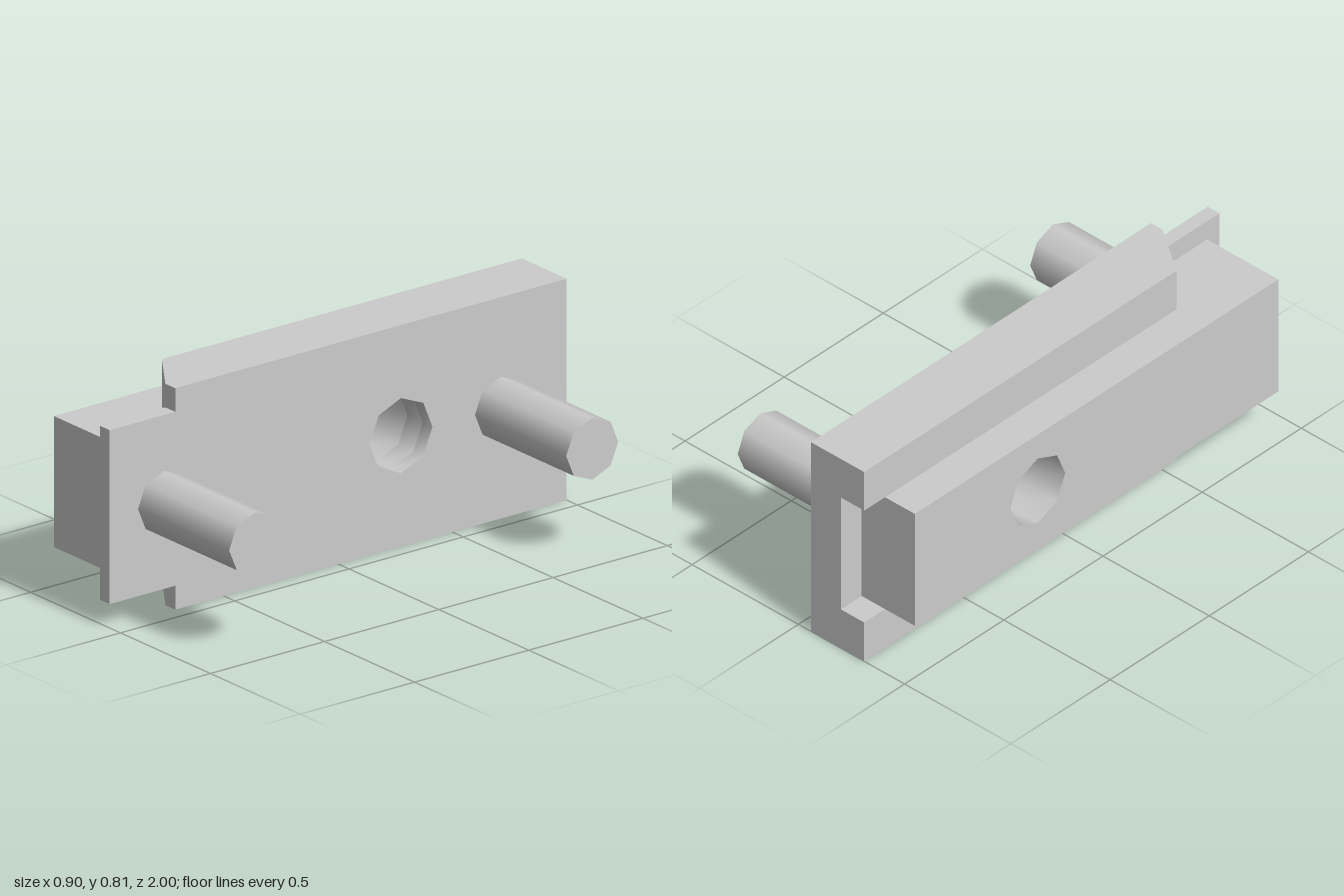
import * as THREE from 'three';
import { toCreasedNormals } from 'three/addons/utils/BufferGeometryUtils.js';

const material = new THREE.MeshStandardMaterial({ color: 0xcccccc });
const MID_Y = 0.408;
const SLOT_LOW = 0.167, SLOT_HIGH = 0.649;   // height range of the block and its groove
const FACE_X = -0.06, FACE_BACK = -0.115, GROOVE_X = -0.2, RAIL_X = -0.31, BLOCK_X = -0.45;

function addMesh(group, name, geometry) {
  const mesh = new THREE.Mesh(geometry, material);
  mesh.name = name;
  group.add(mesh);
}

// Outline of [z, y] points with the octagonal bolt hole, extruded from x0 to x1
function drilledSlab(points, x0, x1) {
  const shape = new THREE.Shape(points.map(([z, y]) => new THREE.Vector2(-z, y)));
  const hole = [];
  for (let i = 0; i < 8; i++) {
    const a = (i * Math.PI) / 4;
    hole.push(new THREE.Vector2(0.275 + 0.138 * Math.cos(a), MID_Y + 0.138 * Math.sin(a)));
  }
  shape.holes.push(new THREE.Path(hole));
  const geometry = new THREE.ExtrudeGeometry(shape, { depth: x1 - x0, bevelEnabled: false });
  geometry.rotateY(Math.PI / 2).translate(x0, 0, 0);
  return toCreasedNormals(geometry, 0.87);
}

const rect = (z0, z1, y0, y1) => [[z0, y0], [z1, y0], [z1, y1], [z0, y1]];

// Rail with a chamfered front end, seen from above and extruded upward
function rail(y0, y1) {
  const outline = [[RAIL_X, -1], [FACE_BACK, -1], [FACE_BACK, 0.713], [RAIL_X, 0.575]];
  const shape = new THREE.Shape(outline.map(([x, z]) => new THREE.Vector2(x, -z)));
  const geometry = new THREE.ExtrudeGeometry(shape, { depth: y1 - y0, bevelEnabled: false });
  return geometry.rotateX(-Math.PI / 2).translate(0, y0, 0);
}

export function createModel() {
  const group = new THREE.Group();
  group.name = 'latchPlate';

  // Face plate with a narrower tongue at the front
  const face = [
    [-1, 0], [0.713, 0], [0.713, 0.088], [1, 0.088],
    [1, 0.728], [0.713, 0.728], [0.713, 0.815], [-1, 0.815],
  ];
  addMesh(group, 'facePlate', drilledSlab(face, FACE_BACK, FACE_X));

  // Groove floor and the raised block seated in it
  addMesh(group, 'grooveFloor', drilledSlab(rect(-1, 0.938, SLOT_LOW, SLOT_HIGH), GROOVE_X, FACE_BACK));
  addMesh(group, 'block', drilledSlab(rect(-0.895, 0.938, SLOT_LOW, SLOT_HIGH), BLOCK_X, GROOVE_X));

  // Rails above and below the groove
  addMesh(group, 'lowerRail', rail(0, SLOT_LOW));
  addMesh(group, 'upperRail', rail(SLOT_HIGH, 0.815));

  // Two pins
  for (const [name, z] of [['frontPin', 0.762], ['backPin', -0.713]]) {
    const pin = new THREE.CylinderGeometry(0.114, 0.114, 0.447 - FACE_X, 8);
    pin.rotateZ(-Math.PI / 2).translate((0.447 + FACE_X) / 2, MID_Y, z);
    addMesh(group, name, pin);
  }

  return group;
}
